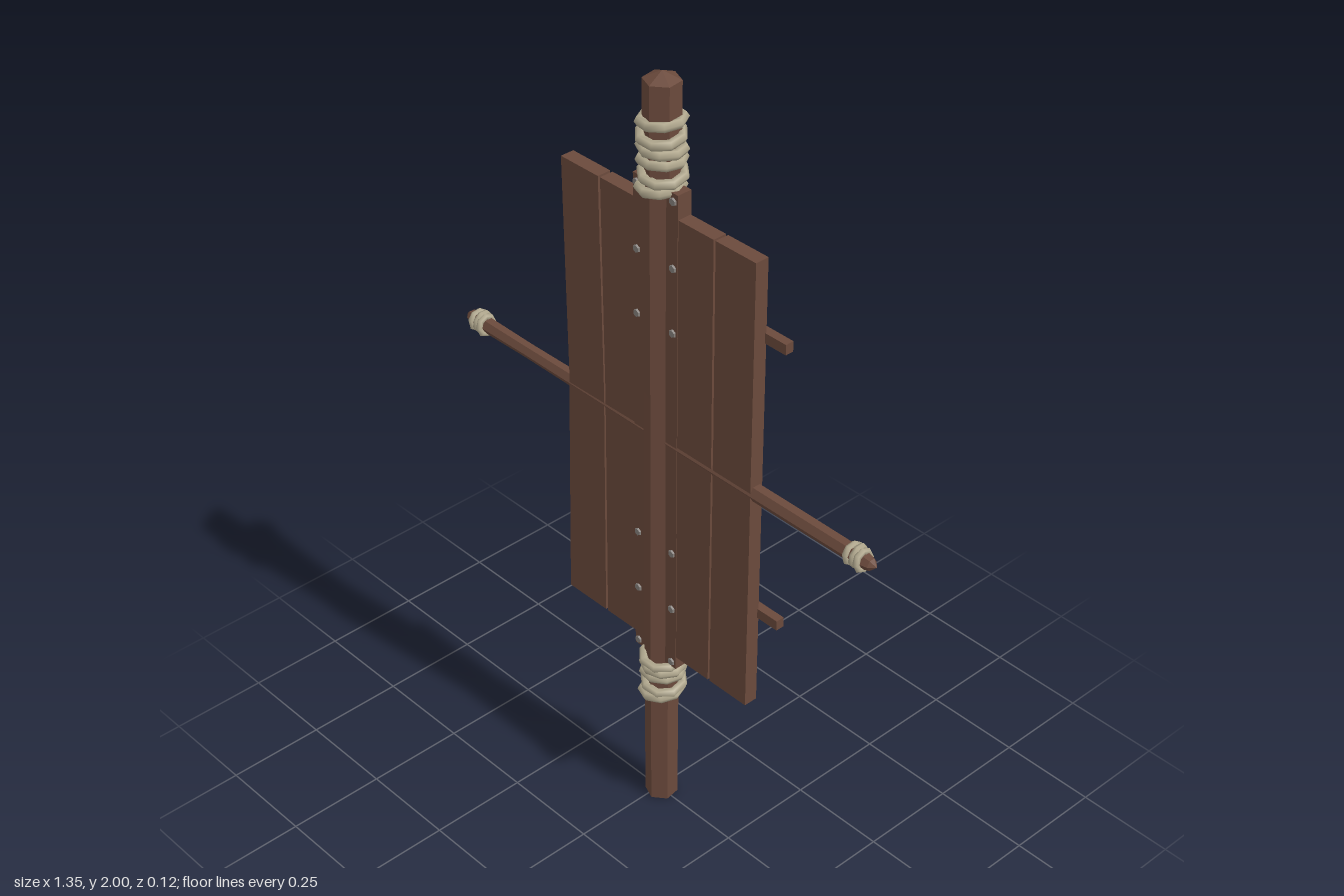
import * as THREE from 'three';

const mat = (color, flatShading = true) => new THREE.MeshStandardMaterial({ color, flatShading });
const wood = mat(0x6b4a3c);
const rope = mat(0xb3aa90, false);
const metal = mat(0x85807c);

export function createModel() {
  const model = new THREE.Group();
  const add = (name, geometry, material, x = 0, y = 0, z = 0, parent = model) => {
    const mesh = new THREE.Mesh(geometry, material);
    mesh.name = name;
    mesh.position.set(x, y, z);
    parent.add(mesh);
    return mesh;
  };
  const box = (name, x0, x1, y0, y1, z0, z1) =>
    add(name, new THREE.BoxGeometry(x1 - x0, y1 - y0, z1 - z0), wood,
      (x0 + x1) / 2, (y0 + y1) / 2, (z0 + z1) / 2);

  // Hexagonal upright pole with a shallow pointed top
  const poleProfile = [[0, 0], [0.04, 0], [0.042, 0.5], [0.041, 1.2], [0.043, 1.98], [0, 2]]
    .map(([r, y]) => new THREE.Vector2(r, y));
  add('pole', new THREE.LatheGeometry(poleProfile, 6), wood, 0.01).rotation.y = 0.15;

  // Thin tapered crossbar running through the boards
  const barProfile = [[0, -0.675], [0.015, -0.66], [0.02, -0.64], [0.018, -0.45], [0.0215, 0],
    [0.021, 0.45], [0.02, 0.64], [0.015, 0.66], [0, 0.675]]
    .map(([r, y]) => new THREE.Vector2(r, y));
  add('crossbar', new THREE.LatheGeometry(barProfile, 6), wood, 0, 1.085, 0).rotation.z = -Math.PI / 2;

  // Vertical boards with slightly uneven long edges: [left, right] at bottom, middle and top
  const boards = [
    [[-0.297, -0.168], [-0.284, -0.164], [-0.295, -0.174]],
    [[-0.161, -0.045], [-0.159, -0.045], [-0.167, -0.045]],
    [[0.07, 0.188], [0.07, 0.189], [0.07, 0.187]],
    [[0.194, 0.313], [0.195, 0.313], [0.193, 0.313]],
  ];
  const heights = [0.48, 1.12, 1.68];
  for (const rows of boards) {
    const left = rows.map((r, i) => new THREE.Vector2(r[0], heights[i]));
    const right = rows.map((r, i) => new THREE.Vector2(r[1], heights[i]));
    const shape = new THREE.Shape([...right, ...left.reverse()]);
    add('board', new THREE.ExtrudeGeometry(shape, { depth: 0.036, bevelEnabled: false }),
      wood, 0, 0, -0.018);
  }

  // Longer centre plank and the two rails across the back
  box('centrePlank', -0.06, 0.08, 0.445, 1.74, -0.0195, 0.0195);
  for (const y of [0.737, 1.482]) box('backRail', -0.285, 0.375, y - 0.013, y + 0.013, -0.036, -0.014);

  // Nail heads on both faces of the plank
  const nail = new THREE.CylinderGeometry(0.009, 0.011, 0.006, 6).rotateX(Math.PI / 2);
  for (const y of [0.46, 0.62, 0.785, 1.39, 1.555, 1.72]) {
    for (const x of [-0.048, 0.066]) {
      add('nail', nail, metal, x, y, 0.021);
      add('nail', nail, metal, x, y, -0.021).rotation.y = Math.PI;
    }
  }

  // Rope lashings: stacks of tilted loops around the local y axis
  function lashing(name, count, spacing, radius, tube, tilt) {
    const group = new THREE.Group();
    group.name = name;
    for (let i = 0; i < count; i++) {
      const loop = new THREE.TorusGeometry(radius, tube, 6, 8).rotateX(Math.PI / 2).rotateY(i * 0.5);
      const mesh = add('ropeLoop', loop, rope, Math.sin(i * 2.3) * tube * 0.3,
        (i - (count - 1) / 2) * spacing, Math.cos(i * 1.7) * tube * 0.3, group);
      mesh.rotation.set(Math.sin(i * 1.9) * tilt, 0, Math.cos(i * 2.6) * tilt);
    }
    model.add(group);
    return group;
  }
  lashing('upperLashing', 6, 0.031, 0.047, 0.012, 0.12).position.set(0.01, 1.808, 0);
  lashing('lowerLashing', 5, 0.026, 0.047, 0.012, 0.14).position.set(0.015, 0.39, 0);
  for (const side of [-1, 1]) {
    const wrap = lashing('crossbarLashing', 3, 0.017, 0.022, 0.008, 0.1);
    wrap.position.set(side * 0.62, 1.085, 0);
    wrap.rotation.z = Math.PI / 2;
  }
  return model;
}
